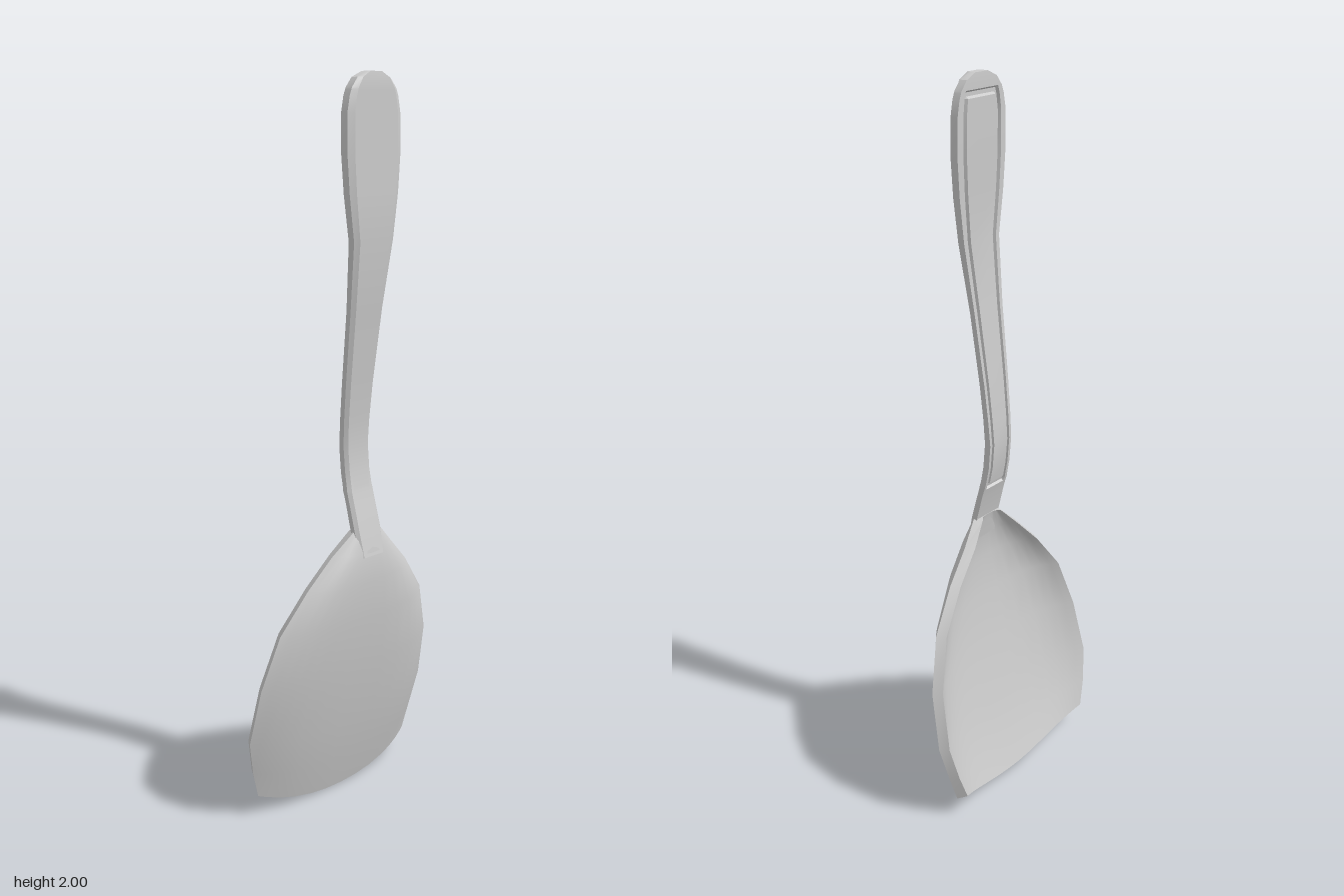
import * as THREE from 'three';
import { toCreasedNormals } from 'three/addons/utils/BufferGeometryUtils.js';

const metal = new THREE.MeshStandardMaterial({ color: 0xcccccc });

// Closed solid lofted through sections listed from bottom to top.
// Each section holds front points and back points, both running from -x to +x.
function loft(sections, crease) {
  const n = sections[0].front.length;
  const ring = 2 * n;
  const pos = [];
  const idx = [];
  for (const { front, back } of sections) {
    for (const p of front) pos.push(...p);
    for (const p of [...back].reverse()) pos.push(...p);
  }
  for (let i = 0; i < sections.length - 1; i++) {
    for (let j = 0; j < ring; j++) {
      const k = (j + 1) % ring;
      const a = i * ring + j, b = i * ring + k;
      idx.push(a, b, b + ring, a, b + ring, a + ring);
    }
  }
  // end caps
  const top = (sections.length - 1) * ring;
  for (let j = 0; j < n - 1; j++) {
    const f = j, g = j + 1, bf = ring - 1 - j, bg = ring - 2 - j;
    idx.push(f, bf, g, g, bf, bg);
    idx.push(top + f, top + g, top + bf, top + g, top + bg, top + bf);
  }
  const geo = new THREE.BufferGeometry();
  geo.setAttribute('position', new THREE.Float32BufferAttribute(pos, 3));
  geo.setIndex(idx);
  return toCreasedNormals(geo, crease);
}

// Bowl: centre y, edge y, half width, front z at centre, front z at edge
function makeBowl() {
  const rows = [
    [0.00, 0.06, 0.298, -0.040, -0.070],
    [0.10, 0.14, 0.322, -0.010, -0.062],
    [0.22, 0.24, 0.345, 0.020, -0.047],
    [0.40, 0.40, 0.330, 0.058, -0.014],
    [0.55, 0.55, 0.280, 0.080, 0.010],
    [0.66, 0.66, 0.195, 0.090, 0.028],
    [0.74, 0.74, 0.115, 0.086, 0.040],
    [0.80, 0.80, 0.050, 0.071, 0.058],
  ];
  const us = [-1, -0.93, -0.84, -0.73, -0.6, -0.4, -0.2, 0, 0.2, 0.4, 0.6, 0.73, 0.84, 0.93, 1];
  const sections = rows.map(([yc, ye, w, zc, zr], i) => {
    const inset = Math.min(0.016, w * 0.2);
    const lip = i === 0 ? 0.01 : 0;
    const point = (u, width, dy, dz) => [
      u * width,
      yc + (ye - yc) * u * u + dy,
      zr + (zc - zr) * (1 - Math.abs(u) ** 3.5) + dz,
    ];
    return {
      front: us.map((u) => point(u, w, 0, 0)),
      back: us.map((u) => point(u, w - inset, lip, -0.024)),
    };
  });
  return loft(sections, 0.75);
}

// Handle: y, half width, front z, back z, groove (0 none, 1 two sides, 2 straight across)
function makeHandle() {
  const rows = [
    [0.73, 0.046, 0.088, 0.060, 0],
    [0.80, 0.050, 0.072, 0.048, 0],
    [0.87, 0.049, 0.053, 0.030, 0],
    [0.895, 0.049, 0.046, 0.023, 0],
    [0.90, 0.049, 0.045, 0.021, 2],
    [0.91, 0.049, 0.042, 0.018, 2],
    [0.915, 0.048, 0.041, 0.017, 1],
    [0.96, 0.047, 0.033, 0.008, 1],
    [1.03, 0.047, 0.027, 0.002, 1],
    [1.10, 0.049, 0.031, 0.007, 1],
    [1.20, 0.052, 0.041, 0.017, 1],
    [1.40, 0.060, 0.066, 0.042, 1],
    [1.58, 0.073, 0.091, 0.063, 1],
    [1.70, 0.090, 0.092, 0.062, 1],
    [1.80, 0.098, 0.092, 0.061, 1],
    [1.90, 0.097, 0.091, 0.060, 1],
    [1.94, 0.089, 0.091, 0.060, 1],
    [1.945, 0.087, 0.091, 0.060, 2],
    [1.955, 0.083, 0.091, 0.060, 2],
    [1.96, 0.081, 0.091, 0.060, 0],
    [1.985, 0.060, 0.090, 0.060, 0],
    [2.00, 0.025, 0.088, 0.061, 0],
  ];
  const half = [0.62, 0.66, 0.77, 0.81, 1];
  const us = [...half.map((u) => -u).reverse(), ...half];
  const sections = rows.map(([y, w, zf, zb, groove]) => {
    const depth = (u) => {
      const a = Math.abs(u);
      if (groove === 2) return a < 0.8 ? 0.008 : 0;
      return groove === 1 && a > 0.65 && a < 0.8 ? 0.008 : 0;
    };
    return {
      front: us.map((u) => [u * w, y, Math.abs(u) === 1 ? zf - 0.009 : zf]),
      back: us.map((u) => [u * w, y, zb + depth(u)]),
    };
  });
  return loft(sections, 0.45);
}

export function createModel() {
  const group = new THREE.Group();
  group.name = 'servingSpoon';
  for (const [name, geometry] of [['bowl', makeBowl()], ['handle', makeHandle()]]) {
    const mesh = new THREE.Mesh(geometry, metal);
    mesh.name = name;
    group.add(mesh);
  }
  return group;
}
